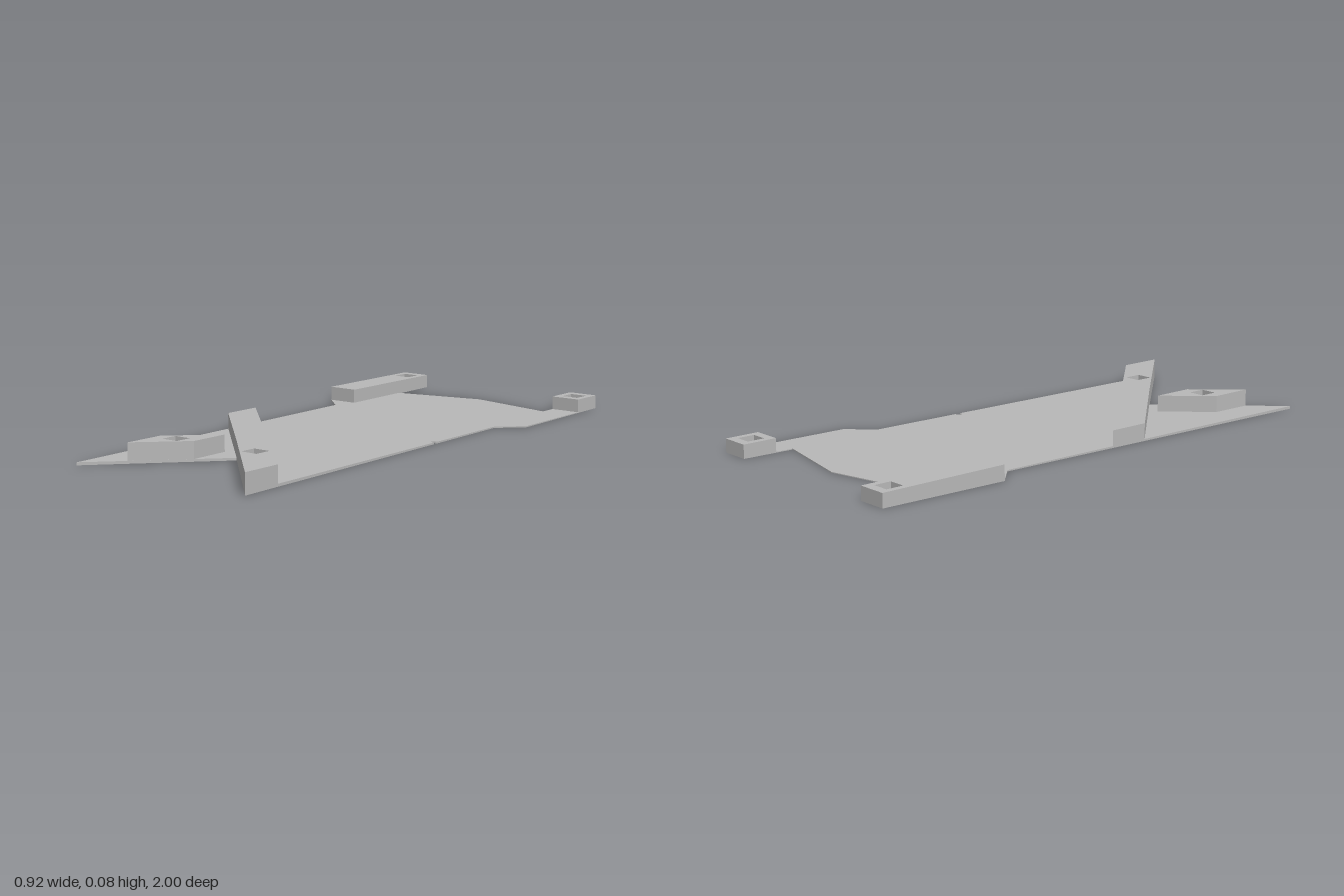
import * as THREE from 'three';

const HOLE = 0.066;
// Heights of the gently rising plate top and block tops, along z
const ground = () => 0;
const plateTop = (z) => 0.0065 + 0.004 * z;
const blockTop = (z) => 0.063 + 0.012 * z;

// Extrudes an outline given as [x, z] between two height rules, with square holes
function slab(name, outline, holes, bottom, top, material) {
  const shape = new THREE.Shape(outline.map(([x, z]) => new THREE.Vector2(x, z)));
  const h = HOLE / 2;
  for (const [x, z] of holes) {
    shape.holes.push(new THREE.Path([
      new THREE.Vector2(x - h, z - h), new THREE.Vector2(x - h, z + h),
      new THREE.Vector2(x + h, z + h), new THREE.Vector2(x + h, z - h),
    ]));
  }
  const geometry = new THREE.ExtrudeGeometry(shape, { depth: 1, bevelEnabled: false });
  geometry.rotateX(Math.PI / 2);
  const p = geometry.attributes.position;
  for (let i = 0; i < p.count; i++) {
    const z = p.getZ(i);
    p.setY(i, p.getY(i) > -0.5 ? top(z) : bottom(z));
  }
  geometry.computeVertexNormals();
  const mesh = new THREE.Mesh(geometry, material);
  mesh.name = name;
  return mesh;
}

export function createModel() {
  const group = new THREE.Group();
  group.name = 'mountingPlate';
  const grey = new THREE.MeshStandardMaterial({ color: 0xb8b8b8 });
  grey.name = 'plain grey';

  const earHoles = [[-0.403, -0.933], [0.403, -0.933]];
  const frontHoles = [[-0.178, 0.718], [0.175, 0.718]];

  // Thin plate with two ears, a pointed back edge, a forked front and a side nick
  group.add(slab('basePlate', [
    [-0.46, -1], [-0.345, -1], [-0.345, -0.8], [0, -0.875], [0.345, -0.8], [0.345, -1],
    [0.46, -1], [0.46, -0.5], [0.372, -0.415],
    [0.372, -0.05], [0.365, -0.045], [0.355, -0.043], [0.355, -0.028], [0.372, -0.026],
    [0.372, 1], [0, 0.61], [-0.373, 1], [-0.373, -0.415], [-0.46, -0.5],
  ], [...earHoles, ...frontHoles], ground, plateTop, grey));

  // Raised blocks on the ears
  group.add(slab('rightEarBlock', [
    [-0.46, -1], [-0.345, -1], [-0.345, -0.5], [-0.46, -0.5],
  ], [earHoles[0]], plateTop, blockTop, grey));
  group.add(slab('leftEarBlock', [
    [0.345, -1], [0.46, -1], [0.46, -0.868], [0.345, -0.868],
  ], [earHoles[1]], plateTop, blockTop, grey));

  // Diagonal rib and the short block beside the fork
  group.add(slab('diagonalRib', [
    [-0.373, 0.07], [0.372, 0.838], [0.372, 1], [0, 0.61], [-0.373, 0.225],
  ], [frontHoles[1]], plateTop, blockTop, grey));
  group.add(slab('shortBlock', [
    [-0.1, 0.557], [-0.1, 0.714], [-0.255, 0.876], [-0.255, 0.715],
  ], [frontHoles[0]], plateTop, blockTop, grey));

  return group;
}
